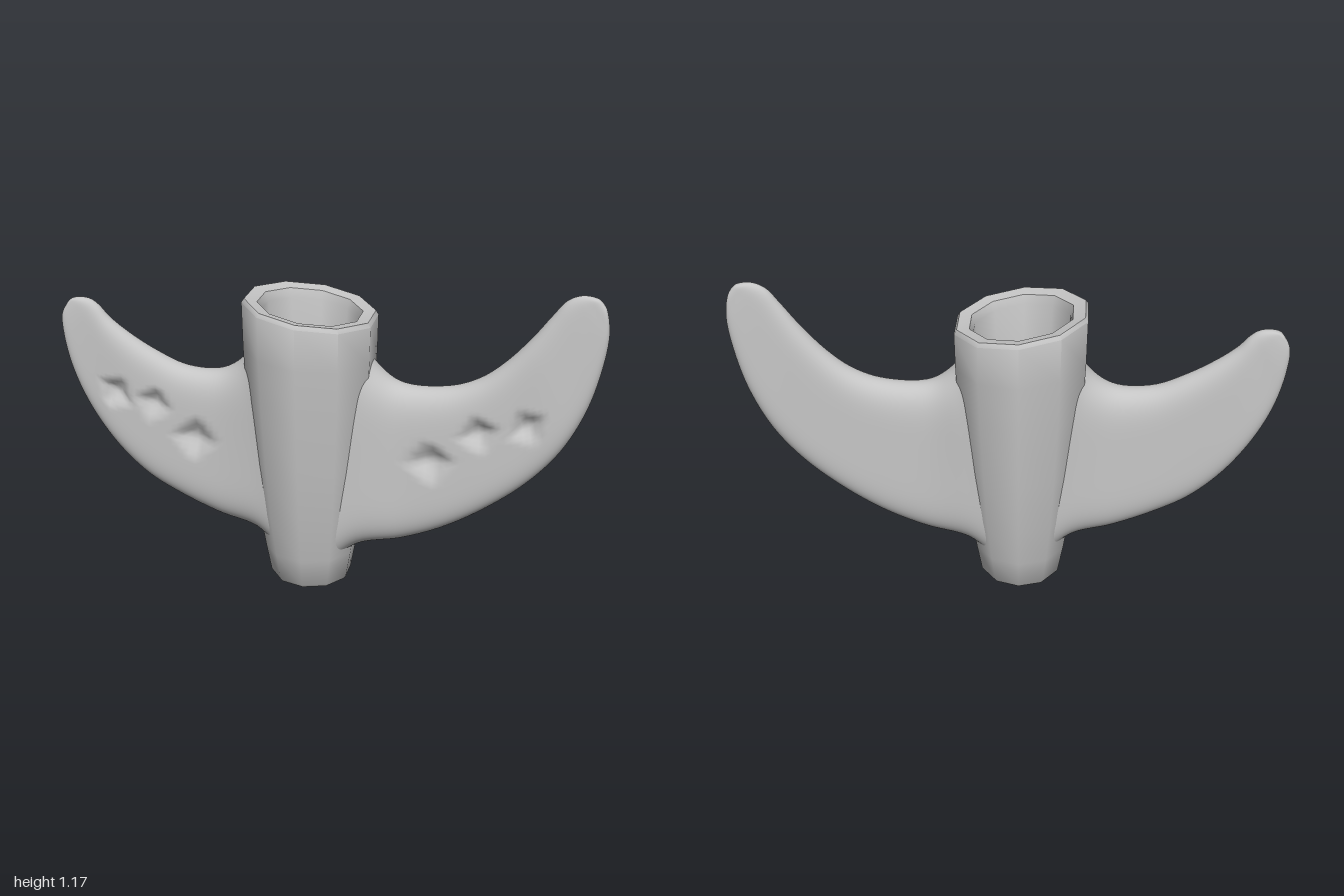
import * as THREE from 'three';
import { toCreasedNormals } from 'three/addons/utils/BufferGeometryUtils.js';

const CENTRE_X = -0.055;

// Ten-sided tapered socket with a slanted rim and a hollow at each end
function socketGeometry() {
  const profile = [
    [0, 0.16], [0.06, 0.13], [0.1, 0.06], [0.115, 0.012], [0.142, 0], [0.152, 0.012],
    [0.172, 0.12], [0.197, 0.28], [0.216, 0.48], [0.234, 0.72], [0.243, 0.9], [0.246, 1.055],
    [0.236, 1.07], [0.19, 1.062], [0.178, 1.03], [0.165, 0.85], [0.13, 0.68], [0.07, 0.58], [0, 0.55],
  ].map(([r, y]) => new THREE.Vector2(r, y));
  const geo = new THREE.LatheGeometry(profile, 10);
  const p = geo.attributes.position;
  for (let i = 0; i < p.count; i++) {
    const slant = THREE.MathUtils.smoothstep(p.getY(i), 0.75, 1.05);
    p.setY(i, p.getY(i) - 0.13 * p.getX(i) * slant);
  }
  return toCreasedNormals(geo, 0.75);
}

// Wing lofted through sections [lowerX, lowerY, upperX, upperY, halfThickness];
// dents are [x, y, radius, turn] on the front face
function wingGeometry(sections, dents, side) {
  const SPAN = 64, HALF = 48, RING = HALF * 2;
  const lower = new THREE.CatmullRomCurve3(sections.map((s) => new THREE.Vector3(s[0], s[1], s[4])));
  const upper = new THREE.CatmullRomCurve3(sections.map((s) => new THREE.Vector3(s[2], s[3], s[4])));
  const positions = [], index = [];
  for (let i = 0; i <= SPAN; i++) {
    const a = lower.getPoint(i / SPAN), b = upper.getPoint(i / SPAN);
    for (let k = 0; k < RING; k++) {
      const c = Math.cos((Math.PI * k) / HALF);
      const v = (1 - c) / 2;
      const x = a.x + (b.x - a.x) * v;
      const y = a.y + (b.y - a.y) * v;
      const width = Math.sqrt(Math.max(0, 1 - c ** 6)) * (1 - 0.22 * v);
      let z = Math.max(0, a.z) * width * (k <= HALF ? 1 : -1);
      if (k < HALF) {
        for (const [dx, dy, r, turn] of dents) {
          const px = x - dx, py = y - dy;
          const u = px * Math.cos(turn) + py * Math.sin(turn);
          const w = py * Math.cos(turn) - px * Math.sin(turn);
          const d = (Math.abs(u) + Math.abs(w)) / r;
          z -= 0.6 * r * Math.min(0.75, Math.max(0, 1 - d));
        }
      }
      positions.push(x * side, y, z);
    }
  }
  for (let i = 0; i < SPAN; i++) {
    for (let k = 0; k < RING; k++) {
      const k2 = (k + 1) % RING;
      const a = i * RING + k, b = a + RING, c = (i + 1) * RING + k2, d = i * RING + k2;
      if (side > 0) index.push(a, b, d, b, c, d);
      else index.push(a, d, b, b, d, c);
    }
  }
  const geo = new THREE.BufferGeometry();
  geo.setAttribute('position', new THREE.Float32BufferAttribute(positions, 3));
  geo.setIndex(index);
  geo.computeVertexNormals();
  return geo;
}

export function createModel() {
  const group = new THREE.Group();
  group.name = 'wingedSocket';
  const grey = new THREE.MeshStandardMaterial({ color: 0xc4c4c4 });
  grey.name = 'plain grey';

  const add = (name, geometry) => {
    const mesh = new THREE.Mesh(geometry, grey);
    mesh.name = name;
    group.add(mesh);
    return mesh;
  };

  add('socket', socketGeometry()).position.x = CENTRE_X;

  // Taller wing
  add('leftWing', wingGeometry([
    [0.03, 0.06, 0.12, 0.96, 0.15],
    [0.13, 0.15, 0.19, 0.86, 0.13],
    [0.30, 0.19, 0.28, 0.80, 0.10],
    [0.45, 0.25, 0.45, 0.80, 0.088],
    [0.60, 0.34, 0.56, 0.84, 0.08],
    [0.75, 0.46, 0.65, 0.91, 0.07],
    [0.86, 0.59, 0.74, 1.01, 0.06],
    [0.94, 0.75, 0.80, 1.09, 0.046],
    [0.985, 0.92, 0.85, 1.15, 0.034],
    [0.998, 1.04, 0.90, 1.17, 0.025],
    [0.985, 1.12, 0.95, 1.163, 0.016],
    [0.97, 1.148, 0.97, 1.148, 0],
  ], [[0.4, 0.53, 0.09, 0.1], [0.57, 0.65, 0.08, 0.3], [0.74, 0.69, 0.075, 0.6]], 1));

  // Shorter wing, mirrored across x
  add('rightWing', wingGeometry([
    [0.13, 0.06, 0.235, 0.98, 0.15],
    [0.24, 0.175, 0.30, 0.86, 0.125],
    [0.40, 0.22, 0.39, 0.80, 0.1],
    [0.55, 0.28, 0.53, 0.80, 0.085],
    [0.68, 0.35, 0.65, 0.85, 0.075],
    [0.80, 0.46, 0.75, 0.91, 0.065],
    [0.90, 0.60, 0.82, 0.965, 0.052],
    [0.965, 0.74, 0.86, 1.01, 0.04],
    [0.998, 0.88, 0.89, 1.03, 0.032],
    [1.0, 0.97, 0.93, 1.035, 0.023],
    [0.975, 1.015, 0.96, 1.028, 0.014],
    [0.97, 1.022, 0.97, 1.022, 0],
  ], [[0.48, 0.54, 0.09, 0.1], [0.64, 0.66, 0.075, 0.3], [0.79, 0.69, 0.075, 0.6]], -1));

  return group;
}
